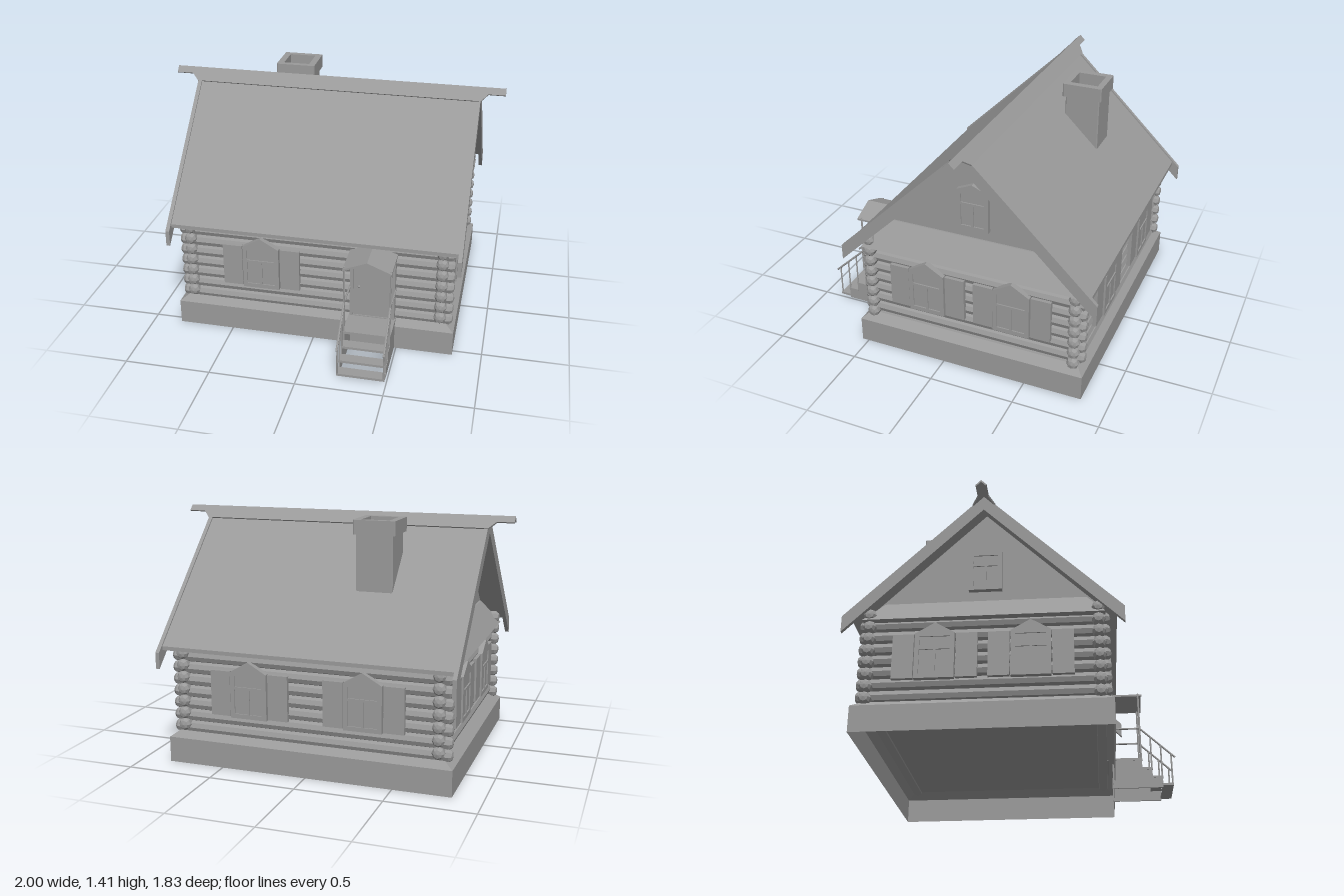
import * as THREE from 'three';

const ZC = -0.15; // middle of the house in z
const SLOPE = 0.973;
const mat = new THREE.MeshStandardMaterial({ color: 0x9a9a9a, flatShading: true });
const thin = new THREE.MeshStandardMaterial({ color: 0x9a9a9a, flatShading: true, side: THREE.DoubleSide });

function add(parent, name, geo, material = mat) {
  const m = new THREE.Mesh(geo, material);
  m.name = name;
  parent.add(m);
  return m;
}

// Box given by its limits
function box(parent, name, x0, x1, y0, y1, z0, z1) {
  const g = new THREE.BoxGeometry(x1 - x0, y1 - y0, z1 - z0);
  g.translate((x0 + x1) / 2, (y0 + y1) / 2, (z0 + z1) / 2);
  return add(parent, name, g);
}

const shapeOf = pts => new THREE.Shape(pts.map(p => new THREE.Vector2(...p)));
const rect = (x0, x1, y0, y1) => [[x0, y0], [x1, y0], [x1, y1], [x0, y1]];

// Centred rectangle with cut corners
const cutRect = (a, b, c) => [[-a + c, -b], [a - c, -b], [a, -b + c], [a, b - c],
  [a - c, b], [-a + c, b], [-a, b - c], [-a, -b + c]];

function plate(pts, depth, holes = []) {
  const s = shapeOf(pts);
  s.holes = holes.map(h => shapeOf(h));
  return new THREE.ExtrudeGeometry(s, { depth, bevelEnabled: false });
}

// Outline in [z, y], extruded from x0 to x1
function prismX(pts, x0, x1) {
  return plate(pts.map(([z, y]) => [-z, y]), x1 - x0).rotateY(Math.PI / 2).translate(x0, 0, 0);
}

// Inverted V section: half width w, peak height, rise per unit, vertical thickness t
const chevron = (c, w, peak, slope, t) => [
  [c - w, peak - slope * w], [c, peak], [c + w, peak - slope * w],
  [c + w, peak - slope * w - t], [c, peak - t], [c - w, peak - slope * w - t]];

// Rod between two points
function rod(parent, name, a, b, r) {
  const A = new THREE.Vector3(...a), B = new THREE.Vector3(...b);
  const m = add(parent, name, new THREE.CylinderGeometry(r, r, A.distanceTo(B), 6));
  m.position.copy(A).add(B).multiplyScalar(0.5);
  m.quaternion.setFromUnitVectors(new THREE.Vector3(0, 1, 0), B.sub(A).normalize());
}

// Log along y with blunt domed ends
function logGeometry(len, r = 0.036) {
  const h = len / 2;
  return new THREE.LatheGeometry([[0, -h], [0.024, -h + 0.006], [r, -h + 0.022],
    [r, h - 0.022], [0.024, h - 0.006], [0, h]].map(p => new THREE.Vector2(...p)), 8);
}

// Window facing +z, sill centred at the origin
function makeWindow(w, h, peak, shutters) {
  const g = new THREE.Group();
  g.name = 'window';
  const a = w / 2, b = a - 0.025, mid = h * 0.66;
  add(g, 'windowFrame', plate([[-a, 0], [a, 0], [a, h], [0, peak], [-a, h]], 0.035, [
    rect(-b, b, mid + 0.007, h - 0.02),
    rect(-b, -0.007, 0.025, mid - 0.007),
    rect(0.007, b, 0.025, mid - 0.007)]));
  box(g, 'windowPane', -b, b, 0.02, h - 0.01, 0, 0.028);
  if (shutters) for (const s of [-1, 1]) {
    const m = box(g, 'shutter', -0.058, 0.058, 0.005, h, 0, 0.026);
    m.position.x = s * (a + 0.064);
  }
  return g;
}

export function createModel() {
  const house = new THREE.Group();
  house.name = 'logCabin';

  // Foundation: hollow underneath, with a sloped top edge
  const rings = [[0.83, 0.69, 0], [0.83, 0.69, 0.148], [0.775, 0.645, 0.187]];
  const pos = [], idx = [];
  for (const [x, z, y] of rings) pos.push(-x, y, z + ZC, x, y, z + ZC, x, y, ZC - z, -x, y, ZC - z);
  for (let r = 0; r < 2; r++) for (let i = 0; i < 4; i++) {
    const a = r * 4 + i, b = r * 4 + (i + 1) % 4;
    idx.push(a, b, b + 4, a, b + 4, a + 4);
  }
  idx.push(8, 9, 10, 8, 10, 11);
  const fg = new THREE.BufferGeometry();
  fg.setAttribute('position', new THREE.Float32BufferAttribute(pos, 3));
  fg.setIndex(idx);
  fg.computeVertexNormals();
  add(house, 'foundation', fg, thin);

  // Log walls, crossing at the corners
  const walls = new THREE.Group();
  walls.name = 'logWalls';
  house.add(walls);
  const longLog = logGeometry(1.64).rotateZ(Math.PI / 2);
  const sideLog = logGeometry(1.37).rotateX(Math.PI / 2);
  for (const s of [-1, 1]) {
    for (let k = 0; k < 8; k++) add(walls, 'longLog', longLog).position.set(0, 0.205 + 0.07 * k, ZC + s * 0.622);
    for (let k = 0; k < 7; k++) add(walls, 'sideLog', sideLog).position.set(s * 0.745, 0.225 + 0.07 * k, ZC);
  }
  box(walls, 'wallCore', -0.735, 0.735, 0.187, 0.66, ZC - 0.612, ZC + 0.612);

  // Gable ends with sloped skirts
  add(house, 'gable', prismX([[ZC - 0.65, 0.655], [ZC - 0.65, 0.738], [ZC, 1.372],
    [ZC + 0.65, 0.738], [ZC + 0.65, 0.655]], -0.7, 0.7));
  for (const s of [-1, 1]) {
    const g = new THREE.BoxGeometry(0.12, 0.15, 1);
    const p = g.attributes.position;
    for (let i = 0; i < p.count; i++) {
      const top = p.getY(i) > 0;
      if (top) p.setX(i, p.getX(i) * s > 0 ? s * -0.05 : s * -0.06);
      p.setZ(i, p.getZ(i) * (top ? 1.12 : 1.32));
    }
    g.computeVertexNormals();
    add(house, 'gableSkirt', g).position.set(s * 0.76, 0.731, ZC);
  }

  // Roof slab and barge boards
  add(house, 'roof', prismX(chevron(ZC, 0.722, 1.394, SLOPE, 0.022), -0.835, 0.835));
  const barge = chevron(ZC, 0.762, 1.404, SLOPE, 0.093);
  add(house, 'bargeBoard', prismX(barge, 0.835, 0.858));
  add(house, 'bargeBoard', prismX(barge, -0.858, -0.835));

  // Ridge boards, narrowed at both tips
  const ridge = [[-1, 0], [1, 0], [1, -0.045], [0.9, -0.045], [0.86, -0.092],
    [-0.86, -0.092], [-0.9, -0.045], [-1, -0.045]];
  for (const s of [0, 1]) {
    const m = add(house, 'ridgeBoard', plate(ridge, 0.009).translate(0, 0, -0.009).rotateX(-Math.PI / 4));
    m.rotation.y = s * Math.PI;
    m.position.set(0, 1.41, ZC);
  }

  // Chimney with cut corners, open at the top
  const chimney = new THREE.Group();
  chimney.name = 'chimney';
  chimney.position.set(-0.304, 0, -0.44);
  house.add(chimney);
  const flue = [rect(-0.08, 0.08, -0.083, 0.083)];
  const up = g => g.rotateX(-Math.PI / 2);
  add(chimney, 'chimneyShaft', up(plate(cutRect(0.104, 0.104, 0.006), 0.4, flue))).position.y = 0.93;
  add(chimney, 'chimneyCap', up(plate(cutRect(0.12, 0.119, 0.006), 0.08, flue))).position.y = 1.325;

  // Windows
  const place = (w, x, y, z, turn) => {
    w.position.set(x, y, z);
    w.rotation.y = turn;
    house.add(w);
  };
  const wallWindow = () => makeWindow(0.216, 0.264, 0.327, true);
  const zf = ZC + 0.65, zb = ZC - 0.65;
  place(wallWindow(), -0.313, 0.303, zf, 0);
  for (const s of [-1, 1]) {
    place(wallWindow(), s * 0.333, 0.303, zb, Math.PI);
    for (const d of [-1, 1]) place(wallWindow(), s * 0.773, 0.303, ZC + d * 0.258, s * Math.PI / 2);
    place(makeWindow(0.186, 0.24, 0.28, false), s * 0.695, 0.868, ZC, s * Math.PI / 2);
  }

  // Door
  const porch = new THREE.Group();
  porch.name = 'porch';
  porch.position.x = 0.352;
  house.add(porch);
  add(porch, 'doorFrame', plate([[-0.132, 0.187], [0.132, 0.187], [0.132, 0.6], [0, 0.655], [-0.132, 0.6]], 0.04,
    [rect(-0.113, 0.113, 0.195, 0.59)])).position.z = zf - 0.005;
  box(porch, 'door', -0.115, 0.115, 0.19, 0.595, zf - 0.01, zf + 0.028);
  const knob = add(porch, 'doorKnob', new THREE.SphereGeometry(0.008, 8, 6));
  knob.position.set(-0.078, 0.39, zf + 0.034);

  // Canopy over the door
  add(porch, 'canopy', plate(chevron(0, 0.138, 0.665, 0.4, 0.012), 0.24)).position.z = 0.49;

  // Landing and steps between stepped side panels
  box(porch, 'landing', -0.138, 0.138, 0.175, 0.19, 0.5, 0.712);
  const side = [[0.53, 0], [0.83, 0], [0.83, 0.06], [0.77, 0.06], [0.77, 0.115], [0.71, 0.115], [0.71, 0.18], [0.53, 0.18]];
  const steps = [[0.71, 0.115], [0.77, 0.06], [0.83, 0.012]];
  for (const [z, y] of steps) box(porch, 'tread', -0.138, 0.138, y, y + 0.014, z - 0.004, z + 0.062);

  // Railings and canopy posts
  for (const s of [-1, 1]) {
    const x = s * 0.132;
    add(porch, 'stairSide', prismX(side, x - 0.005, x + 0.005));
    rod(porch, 'canopyPost', [x, 0.18, 0.705], [x, 0.615, 0.705], 0.006);
    rod(porch, 'handrail', [x, 0.19, 0.91], [x, 0.383, 0.705], 0.006);
    rod(porch, 'landingRail', [x, 0.383, 0.705], [x, 0.383, 0.5], 0.006);
    for (const [z, y] of steps) {
      const zr = z + 0.057;
      rod(porch, 'baluster', [x, y, zr], [x, 0.383 - (zr - 0.705) * 0.941, zr], 0.005);
    }
  }
  return house;
}
